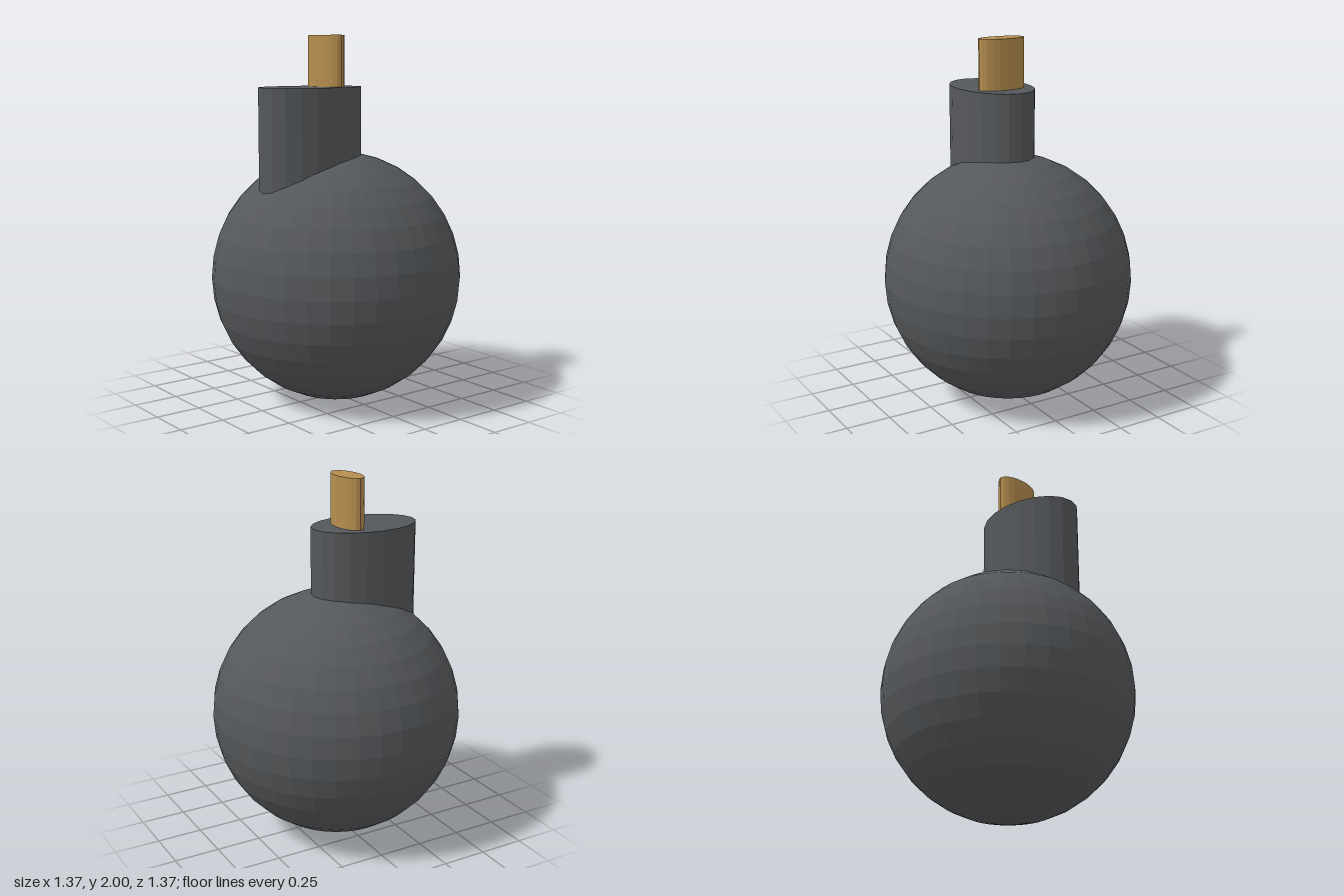
import * as THREE from 'three';

export function createModel() {
  const group = new THREE.Group();
  const iron = new THREE.MeshStandardMaterial({ color: 0x55585b, flatShading: true });
  const cord = new THREE.MeshStandardMaterial({ color: 0xb58d4e, flatShading: true });

  // Round faceted body standing on the ground
  const radius = 0.687;
  const body = new THREE.Mesh(new THREE.SphereGeometry(radius, 36, 18), iron);
  body.name = 'body';
  body.position.y = radius;
  group.add(body);

  // Upright oval cylinder between two heights
  function ovalColumn(name, material, rx, rz, z, bottom, top) {
    const geometry = new THREE.CylinderGeometry(1, 1, 1, 20);
    geometry.scale(rx, top - bottom, rz);
    const mesh = new THREE.Mesh(geometry, material);
    mesh.name = name;
    mesh.position.set(0, (bottom + top) / 2, z);
    group.add(mesh);
  }

  // Neck set towards the front, with the fuse rising out of it
  ovalColumn('neck', iron, 0.205, 0.307, 0.172, 1.0, 1.727);
  ovalColumn('fuse', cord, 0.136, 0.068, 0.068, 1.5, 2.0);

  return group;
}
